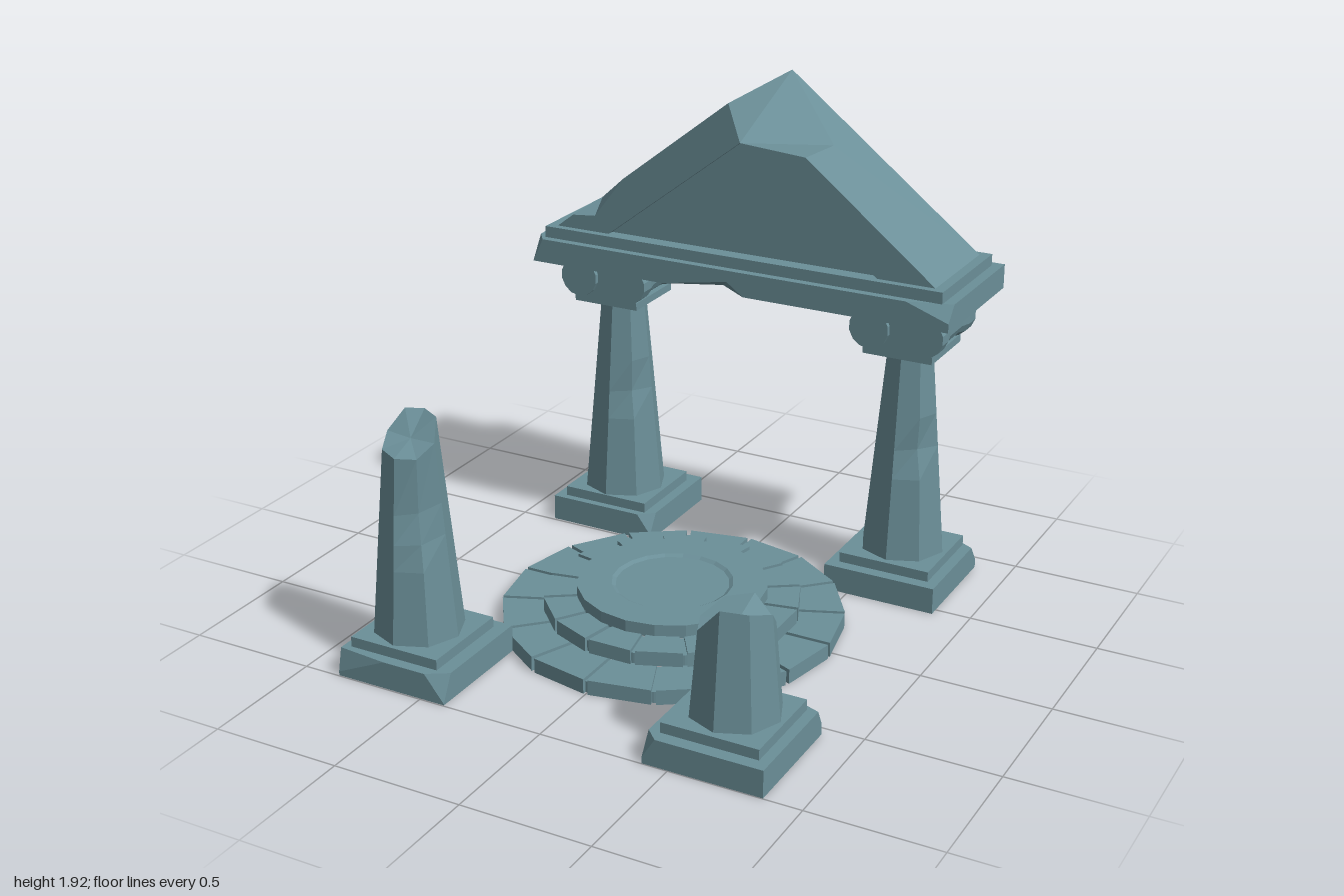
import * as THREE from 'three';
import { ConvexGeometry } from 'three/addons/geometries/ConvexGeometry.js';

const stone = new THREE.MeshStandardMaterial({ color: 0x6b8f98, flatShading: true, side: THREE.DoubleSide });
stone.name = 'weathered teal stone';

function add(parent, name, geometry, x = 0, y = 0, z = 0) {
  const mesh = new THREE.Mesh(geometry, stone);
  mesh.name = name;
  mesh.position.set(x, y, z);
  parent.add(mesh);
  return mesh;
}

function lathe(profile, sides) {
  return new THREE.LatheGeometry(profile.map(q => new THREE.Vector2(...q)), sides);
}

// Solid from flat polygons; each entry is [outward direction, corner, corner, ...]
function solid(polygons) {
  const out = [];
  for (const [dir, ...corners] of polygons) {
    const n = new THREE.Vector3(...dir);
    const p = corners.map(c => new THREE.Vector3(...c));
    const a = dir.map(Math.abs);
    const drop = a.indexOf(Math.max(...a));
    const [u, v] = [0, 1, 2].filter(i => i !== drop);
    const flat = corners.map(c => new THREE.Vector2(c[u], c[v]));
    for (const [i, j, k] of THREE.ShapeUtils.triangulateShape(flat, [])) {
      const normal = p[j].clone().sub(p[i]).cross(p[k].clone().sub(p[i]));
      const order = normal.dot(n) > 0 ? [i, j, k] : [i, k, j];
      order.forEach(q => out.push(p[q].x, p[q].y, p[q].z));
    }
  }
  const g = new THREE.BufferGeometry();
  g.setAttribute('position', new THREE.Float32BufferAttribute(out, 3));
  g.computeVertexNormals();
  return g;
}

// Box with chipped top corners and an open underside; chips: [sx, sz, dx, dy, dz]
function chippedPlinth(w, h, chips) {
  const pts = [];
  for (const sx of [-1, 1]) for (const sz of [-1, 1]) {
    const x = sx * w / 2, z = sz * w / 2;
    pts.push(new THREE.Vector3(x, 0, z));
    const chip = chips.find(c => c[0] === sx && c[1] === sz);
    if (!chip) { pts.push(new THREE.Vector3(x, h, z)); continue; }
    const [, , dx, dy, dz] = chip;
    pts.push(new THREE.Vector3(x - sx * dx, h, z), new THREE.Vector3(x, h - dy, z), new THREE.Vector3(x, h, z - sz * dz));
  }
  const src = new ConvexGeometry(pts).getAttribute('position').array;
  const kept = [];
  for (let i = 0; i < src.length; i += 9) {
    if (Math.max(src[i + 1], src[i + 4], src[i + 7]) > 1e-4) kept.push(...src.slice(i, i + 9));
  }
  const g = new THREE.BufferGeometry();
  g.setAttribute('position', new THREE.Float32BufferAttribute(kept, 3));
  g.computeVertexNormals();
  return g;
}

// Tapered octagonal shaft; tops gives the height of each corner, dents pull corners inward
const BASE = 0.145, FULL = 0.97;
function shaft(tops, centre, dents) {
  const g = new THREE.CylinderGeometry(1, 1, 1, 8, 4);
  const p = g.getAttribute('position');
  for (let i = 0; i < p.count; i++) {
    const x = p.getX(i), z = p.getZ(i), level = Math.round((p.getY(i) + 0.5) * 4);
    const r = Math.hypot(x, z);
    const corner = (Math.round(Math.atan2(x, z) / (Math.PI / 4)) + 8) % 8;
    const top = r < 0.5 ? centre : tops[corner];
    const y = BASE + (top - BASE) * [0, 0.4, 0.54, 0.7, 1][level];
    let radius = 0.168 - 0.075 * (y - BASE) / (FULL - BASE);
    const dent = dents.find(d => d[0] === corner && d[1] === level);
    if (dent) radius *= dent[2];
    p.setXYZ(i, x * radius, y, z * radius);
  }
  return g.toNonIndexed();
}

// Scroll capital between shaft and entablature
function capital(parent, x, z) {
  const cap = new THREE.Group();
  cap.name = 'capital';
  cap.position.set(x, 0, z);
  parent.add(cap);
  add(cap, 'capitalNeck', new THREE.BoxGeometry(0.28, 0.03, 0.29), 0, 0.985, 0);
  add(cap, 'capitalCushion', new THREE.BoxGeometry(0.22, 0.16, 0.3), 0, 1.08, 0);
  const scroll = lathe([[0, -0.168], [0.08, -0.168], [0.08, -0.11], [0.068, -0.06],
    [0.068, 0.06], [0.08, 0.11], [0.08, 0.168], [0, 0.168]], 14).rotateX(Math.PI / 2);
  for (const s of [-1, 1]) add(cap, 'volute', scroll, s * 0.11, 1.08, 0);
}

// Ring of 16 straight-edged paving stones with narrow grooves and a groove floor
function paving(parent, name, r0, r1, y, h, offset) {
  const half = Math.PI / 16, gap = 0.009;
  const [c, s] = [Math.cos(half), Math.sin(half)];
  const outline = [[r0 * c, gap - r0 * s], [r1 * c, gap - r1 * s], [r1 * c, r1 * s - gap], [r0 * c, r0 * s - gap]];
  const shape = new THREE.Shape(outline.map(q => new THREE.Vector2(...q)));
  const g = new THREE.ExtrudeGeometry(shape, { depth: h, bevelEnabled: false }).rotateX(-Math.PI / 2);
  for (let i = 0; i < 16; i++) add(parent, name, g, 0, y, 0).rotation.y = (i + offset) * Math.PI / 8;
  const rim = r1 * 0.975;
  add(parent, name + 'GrooveFloor', lathe([[rim, y], [rim, y + h - 0.014], [r0, y + h - 0.014]], 32));
}

// Lower beam with a broken bottom edge and chipped front corners
function beam() {
  const w = 0.88, a = 1.16, b = 1.255, f = -0.428, k = -1;
  const n1 = [-0.3, a, f], n2 = [-0.02, 1.21, f], n3 = [0.05, a, f], n4 = [-0.08, a, -0.52];
  const l1 = [-0.835, b, f], l2 = [-w, b, -0.49], l3 = [-w, a, f];
  const r1 = [0.71, b, f], r2 = [w, b, -0.48], r3 = [w, 1.195, f], r4 = [w, a, f];
  const kl = [-w, a, k], kr = [w, a, k], tl = [-w, b, k], tr = [w, b, k];
  return solid([
    [[0, 0, 1], l3, n1, n2, n3, r4, r3, r1, l1],
    [[0, -1, 0], l3, n1, n4, n3, r4, kr, kl],
    [[0, 1, 0], l1, r1, r2, tr, tl, l2],
    [[0, 0, -1], kl, kr, tr, tl],
    [[-1, 0, 0], l3, l2, tl, kl],
    [[1, 0, 0], r4, r3, r2, tr, kr],
    [[-1.1, 1, 1], l1, l2, l3], [[1, 1.1, 1], r1, r2, r3],
    [[0, -1, 0.9], n1, n2, n4], [[0, -1, 0.9], n2, n3, n4],
  ]);
}

// Gabled block with recessed triangular panels, a broken ridge and chipped left slope
function pediment() {
  const f = -0.49, k = -0.935, y = 1.3, inset = 0.03;
  const L = [-0.8, y, f], R = [0.8, y, f], LB = [-0.8, y, k], RB = [0.8, y, k];
  const apex = [0, 1.925, k];
  const p1 = [-0.05, 1.886, f], p2 = [0, 1.74, f], p3 = [0.27, 1.72, f], p4 = [0.28, 1.712, -0.72];
  const a = [-0.5, 1.534, f], b = [-0.73, 1.355, f], c = [-0.67, 1.402, -0.62], d = [-0.63, 1.365, f];
  const e = [-0.6, 1.456, k], g = [-0.28, 1.706, k], h = [-0.46, 1.566, -0.8], m = [-0.42, 1.53, k];
  const polygons = [
    [[-0.7, 1, 0], L, b, c, a, p1, apex, g, h, e, LB],
    [[0.7, 1, 0], R, RB, apex, p4, p3],
    [[0, 1, 0.5], apex, p1, p2], [[0.2, 1, 0.5], apex, p2, p4], [[0, 1, 0.2], p2, p3, p4],
    [[-0.5, 1, 0.7], b, d, c], [[-0.5, 1, 0.7], d, a, c],
    [[-0.5, 1, -0.7], e, m, h], [[-0.5, 1, -0.7], m, g, h],
    [[0, -1, 0], L, R, RB, LB],
  ];
  for (const [z, s] of [[f, 1], [k, -1]]) {
    const bl = [-0.57, y, z], br = [0.57, y, z], t = [0, 1.74, z];
    const [bl2, br2, t2] = [bl, br, t].map(q => [q[0], q[1], z - s * inset]);
    const left = s > 0 ? [L, bl, t, p1, a, d, b] : [LB, bl, t, apex, g, m, e];
    const right = s > 0 ? [br, R, p3, t] : [br, RB, apex, t];
    polygons.push([[0, 0, s], ...left], [[0, 0, s], ...right], [[0, 0, s], bl2, br2, t2]);
    polygons.push([[1, -0.9, 0], bl, t, t2, bl2], [[-1, -0.9, 0], br, t, t2, br2]);
  }
  return solid(polygons);
}

export function createModel() {
  const model = new THREE.Group();
  model.name = 'ruinedTemple';

  // Four columns: plinth and shaft centres, corner heights, dents and plinth chips
  const whole = Array(8).fill(FULL);
  const columns = [
    { name: 'backRightColumn', px: -0.63, pz: -0.738, x: -0.63, z: -0.712, tops: whole, centre: FULL,
      dents: [[1, 2, 0.84]], chips: [[1, 1, 0.06, 0.08, 0.05]], cap: true },
    { name: 'backLeftColumn', px: 0.63, pz: -0.69, x: 0.63, z: -0.702, tops: whole, centre: FULL,
      dents: [[1, 2, 0.8]], chips: [[1, -1, 0.09, 0.07, 0.05]], cap: true },
    { name: 'frontRightColumn', px: -0.628, pz: 0.768, x: -0.652, z: 0.768,
      tops: [0.85, 0.85, 0.89, 0.96, 0.97, 0.97, 0.9, 0.86], centre: 0.89, dents: [[1, 2, 0.88], [1, 3, 0.74]],
      chips: [[1, 1, 0.08, 0.1, 0.05], [-1, 1, 0.2, 0.09, 0.02], [-1, -1, 0.03, 0.08, 0.12]], cap: false },
    { name: 'frontLeftColumn', px: 0.628, pz: 0.77, x: 0.632, z: 0.755,
      tops: [0.58, 0.57, 0.54, 0.46, 0.53, 0.51, 0.47, 0.47], centre: 0.48,
      dents: [], chips: [[1, -1, 0.08, 0.06, 0.03], [-1, 1, 0.05, 0.08, 0.05]], cap: false },
  ];
  for (const c of columns) {
    const column = new THREE.Group();
    column.name = c.name;
    model.add(column);
    add(column, 'plinth', chippedPlinth(0.455, 0.105, c.chips), c.px, 0, c.pz);
    add(column, 'plinthStep', new THREE.BoxGeometry(0.37, 0.04, 0.37), (c.px + c.x) / 2, 0.125, (c.pz + c.z) / 2);
    add(column, 'shaft', shaft(c.tops, c.centre, c.dents), c.x, 0, c.z);
    if (c.cap) capital(column, c.x, -0.71);
  }

  // Entablature and pediment over the back columns
  const roof = new THREE.Group();
  roof.name = 'roof';
  model.add(roof);
  add(roof, 'beam', beam());
  add(roof, 'cornice', new THREE.BoxGeometry(1.68, 0.045, 0.505), 0, 1.2775, -0.7125);
  add(roof, 'pediment', pediment());

  // Round stepped platform, hollow underneath
  const platform = new THREE.Group();
  platform.name = 'platform';
  platform.position.z = 0.038;
  model.add(platform);
  paving(platform, 'lowerPavingStone', 0.46, 0.655, 0, 0.058, 0.5);
  paving(platform, 'upperPavingStone', 0.35, 0.49, 0.06, 0.056, 0);
  add(platform, 'centreDisc', lathe([[0.363, 0.11], [0.363, 0.161], [0.232, 0.161], [0.217, 0.152], [0, 0.152]], 20));

  return model;
}
